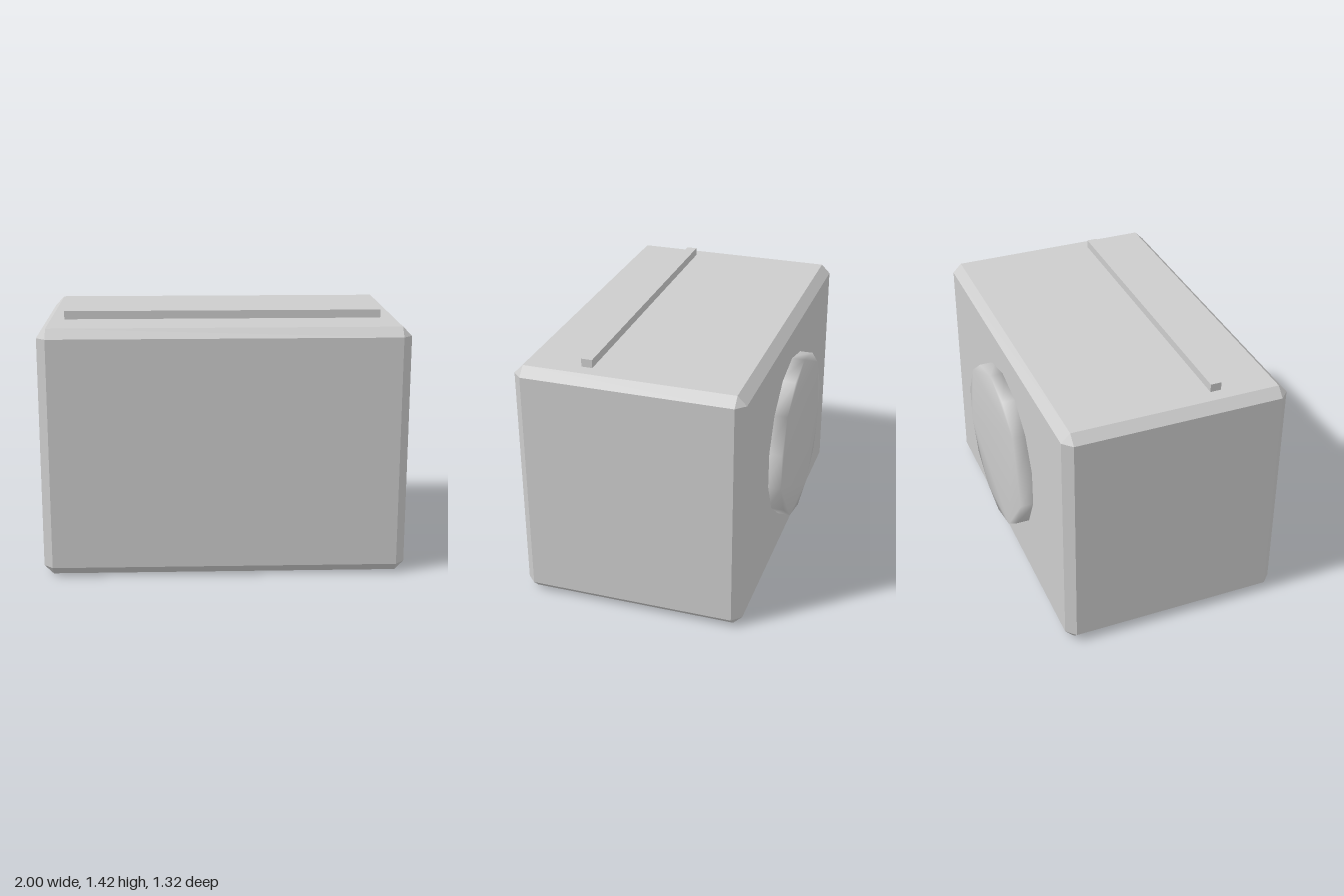
import * as THREE from 'three';
import { mergeVertices } from 'three/addons/utils/BufferGeometryUtils.js';
import { ConvexGeometry } from 'three/addons/geometries/ConvexGeometry.js';

// Box with flat chamfered edges and triangular corners, centred on the origin
function chamferedBox(w, h, d, c) {
  const points = [];
  for (const x of [-w / 2, w / 2]) for (const y of [-h / 2, h / 2]) for (const z of [-d / 2, d / 2]) {
    const sx = Math.sign(x) * c, sy = Math.sign(y) * c, sz = Math.sign(z) * c;
    points.push(
      new THREE.Vector3(x, y - sy, z - sz),
      new THREE.Vector3(x - sx, y, z - sz),
      new THREE.Vector3(x - sx, y - sy, z));
  }
  return new ConvexGeometry(points);
}

// Low-sided disc along z whose rim and caps share smooth normals
function smoothDisc(radius, depth, sides) {
  const rim = Array.from({ length: sides }, (_, i) => {
    const a = Math.PI / 2 + (i / sides) * Math.PI * 2;
    return new THREE.Vector2(Math.cos(a) * radius, Math.sin(a) * radius);
  });
  let geo = new THREE.ExtrudeGeometry(new THREE.Shape(rim), { depth, bevelEnabled: false });
  geo.deleteAttribute('uv');
  geo.deleteAttribute('normal');
  geo = mergeVertices(geo);
  geo.computeVertexNormals();
  return geo;
}

export function createModel() {
  const group = new THREE.Group();
  const grey = new THREE.MeshStandardMaterial({ color: 0xcccccc });
  grey.name = 'light grey';

  const add = (name, geometry, x, y, z) => {
    const mesh = new THREE.Mesh(geometry, grey);
    mesh.name = name;
    mesh.position.set(x, y, z);
    group.add(mesh);
  };

  // Main case
  add('body', chamferedBox(2, 1.376, 1.25, 0.05), 0, 0.688, 0.036);
  // Thin raised bar along the top
  add('topBar', new THREE.BoxGeometry(1.75, 0.06, 0.06), 0, 1.391, 0.286);
  // Round plate on the back
  add('backDisc', smoothDisc(0.475, 0.09, 14), 0, 0.69, -0.661);

  return group;
}
